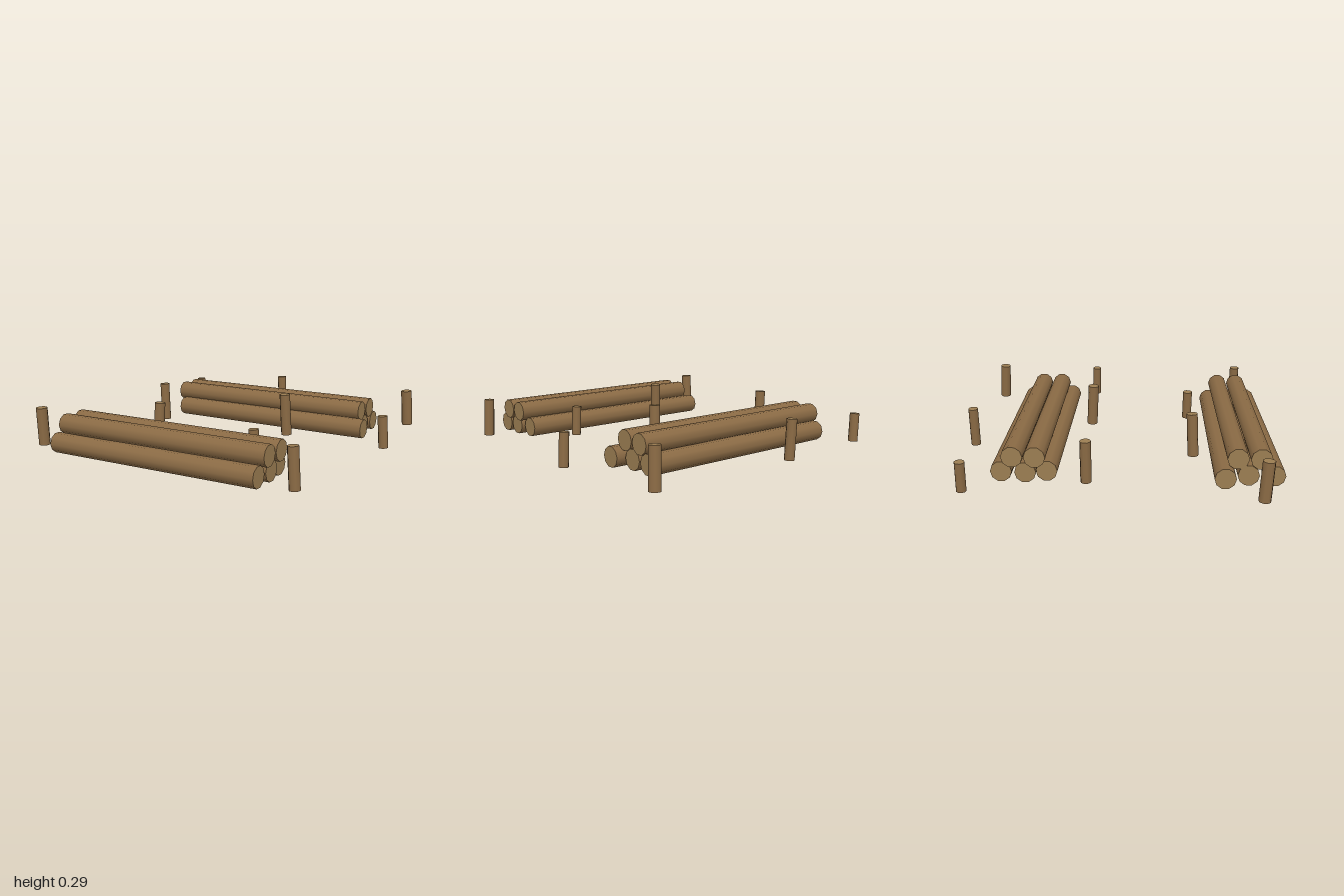
import * as THREE from 'three';

const bark = new THREE.MeshStandardMaterial({ color: 0x8b6b45 });
const cutWood = new THREE.MeshStandardMaterial({ color: 0x9b7d52 });
const UP = new THREE.Vector3(0, 1, 0);

// Round timber running from point a to point b
function timber(name, a, b, radius, sides = 10) {
  const start = new THREE.Vector3(...a);
  const end = new THREE.Vector3(...b);
  const axis = end.clone().sub(start);
  const geometry = new THREE.CylinderGeometry(radius, radius, axis.length(), sides);
  const mesh = new THREE.Mesh(geometry, [bark, cutWood, cutWood]);
  mesh.quaternion.setFromUnitVectors(UP, axis.normalize());
  mesh.position.copy(start).add(end).multiplyScalar(0.5);
  mesh.name = name;
  return mesh;
}

// Logs lying along x: [x start, z start, x end, z end, y]
const LOW = 0.064, HIGH = 0.169;
const stacks = {
  frontLogStack: [
    [-0.76, 0.932, 0.695, 0.918, LOW],
    [-0.755, 0.778, 0.695, 0.776, LOW],
    [-0.81, 0.638, 0.675, 0.64, LOW],
    [-0.76, 0.85, 0.72, 0.842, HIGH],
    [-0.76, 0.713, 0.72, 0.706, HIGH],
  ],
  backLogStack: [
    [-0.73, -0.42, 0.753, -0.404, LOW],
    [-0.755, -0.545, 0.7, -0.543, LOW],
    [-0.745, -0.692, 0.708, -0.69, LOW],
    [-0.778, -0.485, 0.705, -0.477, HIGH],
    [-0.777, -0.62, 0.708, -0.614, HIGH],
  ],
};

// Leaning posts: [base x, base z, top x, top z, height, radius]
const posts = [
  [-0.888, -0.9, -0.9, -0.897, 0.19, 0.031],
  [-0.166, -0.967, -0.178, -0.969, 0.257, 0.032],
  [0.87, -0.95, 0.858, -0.936, 0.25, 0.037],
  [-0.737, -0.184, -0.748, -0.185, 0.268, 0.034],
  [0.265, -0.216, 0.254, -0.203, 0.285, 0.036],
  [0.963, -0.229, 0.95, -0.224, 0.212, 0.031],
  [-0.311, 0.476, -0.302, 0.462, 0.285, 0.035],
  [0.411, 0.466, 0.4, 0.468, 0.2, 0.032],
  [-0.963, 0.846, -0.963, 0.857, 0.25, 0.037],
  [0.877, 0.847, 0.864, 0.85, 0.25, 0.033],
];

export function createModel() {
  const model = new THREE.Group();
  model.name = 'logStacksAndPosts';

  // Two stacks of three logs with two on top
  for (const [name, logs] of Object.entries(stacks)) {
    const stack = new THREE.Group();
    stack.name = name;
    for (const [x0, z0, x1, z1, y] of logs) {
      stack.add(timber(y === LOW ? 'lowerLog' : 'upperLog', [x0, y, z0], [x1, y, z1], 0.065));
    }
    model.add(stack);
  }

  // Short posts standing around the stacks
  const ring = new THREE.Group();
  ring.name = 'posts';
  for (const [x0, z0, x1, z1, height, radius] of posts) {
    ring.add(timber('post', [x0, 0.003, z0], [x1, height, z1], radius));
  }
  model.add(ring);
  return model;
}
